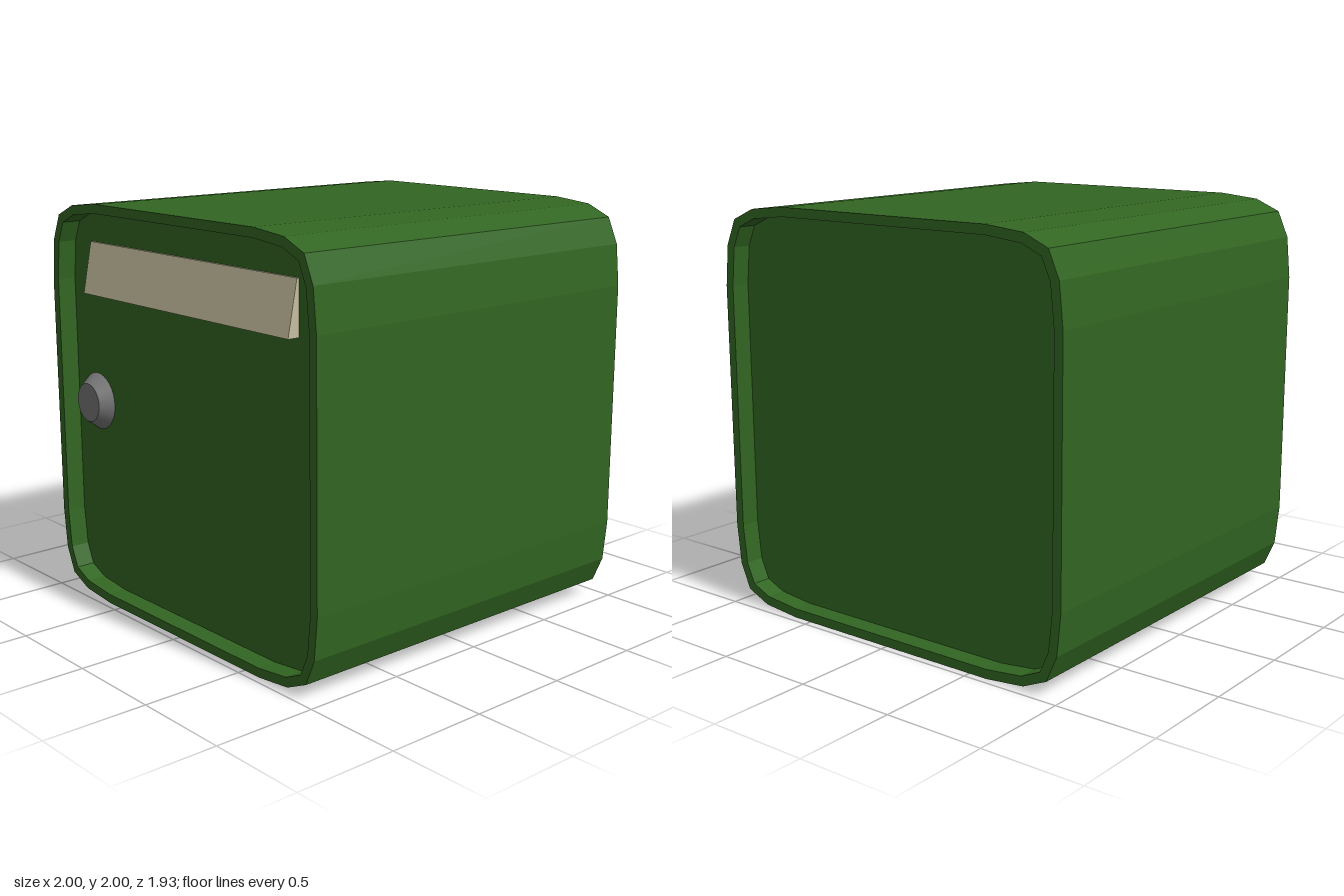
import * as THREE from 'three';

const green = new THREE.MeshStandardMaterial({ color: 0x326622, flatShading: true });
const cream = new THREE.MeshStandardMaterial({ color: 0xc5bf9f, flatShading: true });
const metal = new THREE.MeshStandardMaterial({ color: 0x777777 });

// One corner of each outline, mirrored into a rounded square around (0, 1)
const OUTER = [[1, 0.6], [0.98, 0.8], [0.925, 0.925], [0.8, 0.98], [0.6, 1]];
const INNER = [[0.955, 0.6], [0.935, 0.79], [0.89, 0.89], [0.79, 0.935], [0.6, 0.955]];

function outline(corner) {
  const back = [...corner].reverse();
  return [
    ...corner,
    ...back.map(([x, y]) => [-x, y]),
    ...corner.map(([x, y]) => [-x, -y]),
    ...back.map(([x, y]) => [x, -y]),
  ].map(([x, y]) => new THREE.Vector2(x, y + 1));
}

function extrude(shape, depth, z) {
  return new THREE.ExtrudeGeometry(shape, { depth, bevelEnabled: false }).translate(0, 0, z);
}

function add(group, name, geometry, material) {
  const mesh = new THREE.Mesh(geometry, material);
  mesh.name = name;
  group.add(mesh);
  return mesh;
}

export function createModel() {
  const model = new THREE.Group();
  model.name = 'mailbox';

  // Box shell, open at both ends
  const shell = new THREE.Shape(outline(OUTER));
  shell.holes.push(new THREE.Path(outline(INNER)));
  add(model, 'shell', extrude(shell, 1.93, -0.965), green);

  // Recessed door and back panel
  const panel = new THREE.Shape(outline(INNER));
  add(model, 'door', extrude(panel, 0.04, 0.83), green);
  add(model, 'backPanel', extrude(panel, 0.04, -0.87), green);

  // Wedge-shaped flap over the slot, standing out at its lower edge
  const wedge = new THREE.Shape([
    new THREE.Vector2(0.86, 1.55),
    new THREE.Vector2(0.93, 1.55),
    new THREE.Vector2(0.88, 1.8),
    new THREE.Vector2(0.86, 1.8),
  ]);
  const flap = extrude(wedge, 1.56, -0.78).rotateY(-Math.PI / 2);
  add(model, 'slotFlap', flap, cream);

  // Round tapered knob
  const knob = add(model, 'knob',
    new THREE.CylinderGeometry(0.097, 0.145, 0.065, 32).rotateX(Math.PI / 2), metal);
  knob.position.set(-0.775, 1, 0.9);

  return model;
}
